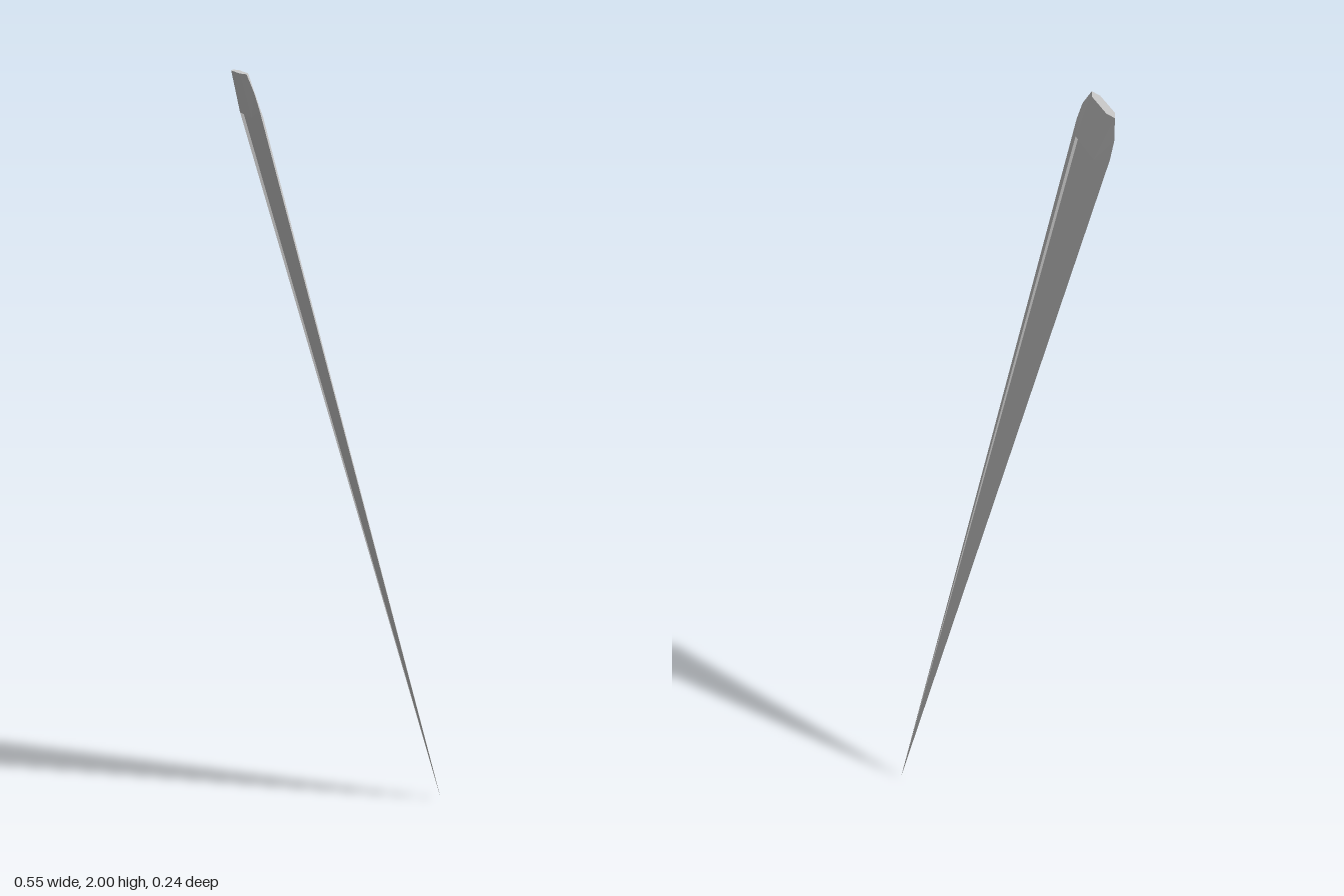
import * as THREE from 'three';

// Points are [y, z, t]: height, half width, and half thickness off the leaning centre plane.
const TIP = [0, 0, 0];
const EDGE = [[1.92, 0.118, 0], [1.96, 0.111, 0], [2, 0.08, 0], [2, 0.05, 0.01]];
const RIDGE = [1.9, 0.066, 0.014];
const RIDGE_MID = [1.9, 0, 0.014];
const FLOOR = [1.9, 0.066, 0.006];
const FLOOR_MID = [1.9, 0, 0.006];
const END = EDGE[3];
const END_MID = [2, 0, 0.01];
const END_CENTRE = [2, 0, 0];

// Triangles of one quarter of each part; mirrored over both planes
const rim = [
  [TIP, RIDGE, EDGE[0]],
  ...[0, 1, 2].map((i) => [RIDGE, EDGE[i + 1], EDGE[i]]),
  [RIDGE, END_MID, END],
  [RIDGE, RIDGE_MID, END_MID],
];
const groove = [
  [TIP, FLOOR_MID, FLOOR],
  [TIP, FLOOR, RIDGE],
  [RIDGE_MID, FLOOR, FLOOR_MID],
  [RIDGE_MID, RIDGE, FLOOR],
];
const cap = [
  [END_CENTRE, END, END_MID],
  [END_CENTRE, EDGE[2], END],
];

function mirrored(triangles) {
  const positions = [];
  for (const sx of [1, -1]) {
    for (const sz of [1, -1]) {
      for (const [a, b, c] of triangles) {
        const corners = sx * sz > 0 ? [a, b, c] : [a, c, b];
        for (const [y, z, t] of corners) {
          positions.push(0.27 - 0.2675 * y + sx * t, y, sz * z);
        }
      }
    }
  }
  const geometry = new THREE.BufferGeometry();
  geometry.setAttribute('position', new THREE.Float32BufferAttribute(positions, 3));
  geometry.computeVertexNormals();
  return geometry;
}

export function createModel() {
  const steel = new THREE.MeshStandardMaterial({ color: 0xcccccc });
  steel.name = 'steel';

  const group = new THREE.Group();
  group.name = 'blade';
  const parts = { bevelledRim: rim, sunkenGrooves: groove, endCap: cap };
  for (const [name, triangles] of Object.entries(parts)) {
    const mesh = new THREE.Mesh(mirrored(triangles), steel);
    mesh.name = name;
    group.add(mesh);
  }
  return group;
}
